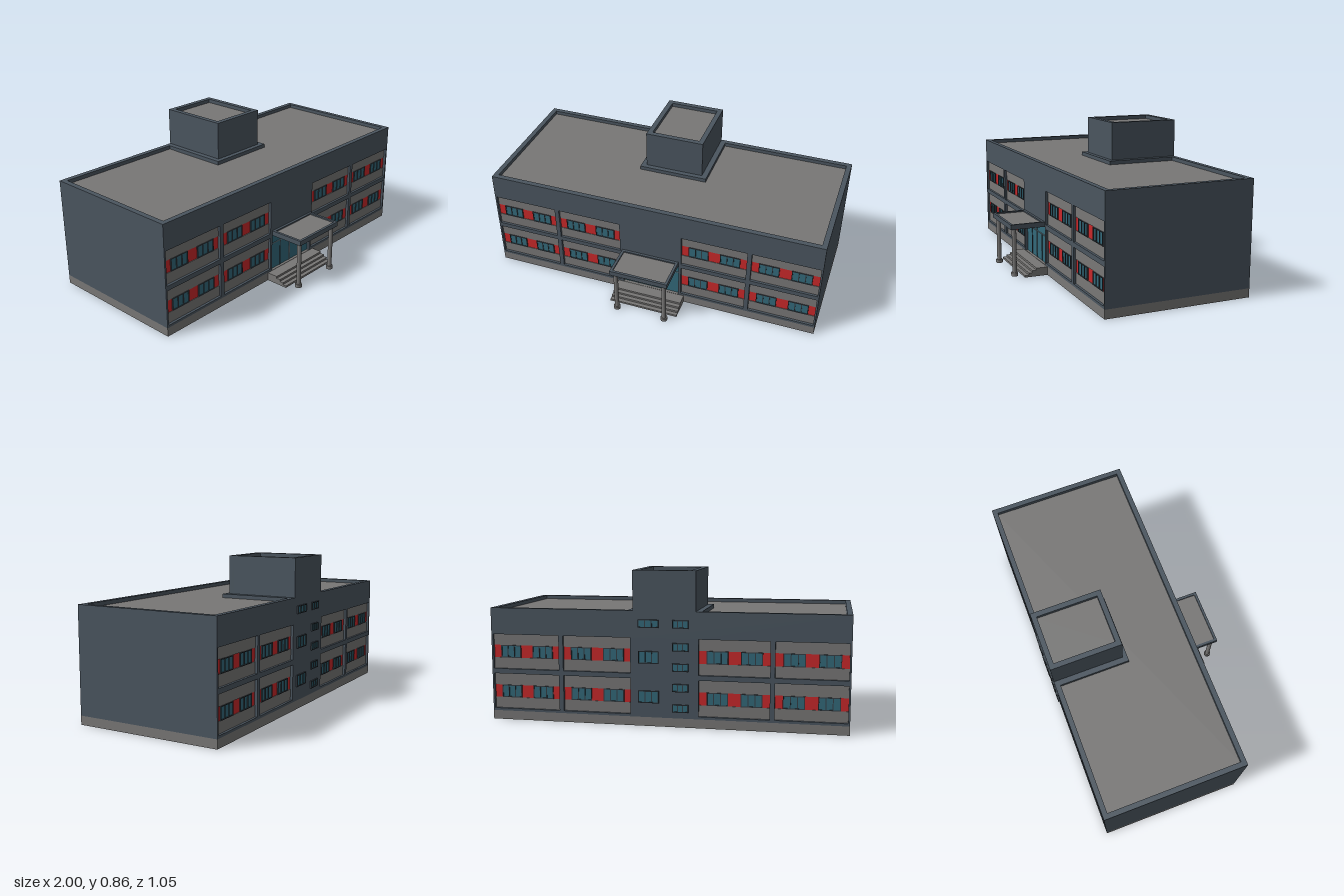
import * as THREE from 'three';

const mat = (name, color) => {
  const m = new THREE.MeshStandardMaterial({ color });
  m.name = name;
  return m;
};

export function createModel() {
  const slate = mat('slate wall', 0x4a555f);
  const grey = mat('grey panel', 0x787776);
  const red = mat('red panel', 0xc8282a);
  const glass = mat('teal glass', 0x33697a);
  const frameMat = mat('dark frame', 0x343d44);
  const metal = mat('door metal', 0x70808a);

  const model = new THREE.Group();
  model.name = 'building';

  // Box given by its minimum and maximum corners
  const box = (parent, name, m, x0, x1, y0, y1, z0, z1) => {
    const mesh = new THREE.Mesh(new THREE.BoxGeometry(x1 - x0, y1 - y0, z1 - z0), m);
    mesh.position.set((x0 + x1) / 2, (y0 + y1) / 2, (z0 + z1) / 2);
    mesh.name = name;
    parent.add(mesh);
    return mesh;
  };

  // Four thin walls around a rectangle
  const ring = (name, m, x0, x1, y0, y1, z0, z1, t) => {
    const g = new THREE.Group();
    g.name = name;
    box(g, 'frontSide', m, x0, x1, y0, y1, z1 - t, z1);
    box(g, 'backSide', m, x0, x1, y0, y1, z0, z0 + t);
    box(g, 'rightSide', m, x0, x0 + t, y0, y1, z0 + t, z1 - t);
    box(g, 'leftSide', m, x1 - t, x1, y0, y1, z0 + t, z1 - t);
    model.add(g);
  };

  const T = 0.03, FRONT = 0.32, BACK = -0.52;
  const bayX = [[-0.99, -0.603], [-0.577, -0.19], [0.19, 0.577], [0.603, 0.99]];
  const bayY = [[0.064, 0.265], [0.293, 0.49]];

  // Window with a dark border and evenly spaced panes, facing +z
  const addWindow = (parent, x0, x1, y0, y1, z0, z1, panes) => {
    const g = new THREE.Group();
    g.name = 'window';
    const b = 0.005;
    box(g, 'glass', glass, x0 + b, x1 - b, y0 + b, y1 - b, z0 + 0.002, z1 - 0.004);
    box(g, 'topRail', frameMat, x0, x1, y1 - b, y1, z0, z1);
    box(g, 'bottomRail', frameMat, x0, x1, y0, y0 + b, z0, z1);
    for (let i = 0; i <= panes; i++) {
      const x = x0 + b / 2 + (x1 - x0 - b) * i / panes;
      box(g, 'mullion', frameMat, x - b / 2, x + b / 2, y0 + b, y1 - b, z0, z1);
    }
    parent.add(g);
  };

  // Recessed bay: grey panels above and below a band of red panels and windows
  const addBay = (parent, [x0, x1], [y0, y1]) => {
    const g = new THREE.Group();
    g.name = 'windowBay';
    const a = y0 + 0.062, b = y0 + 0.134, z0 = -T, z1 = -0.014;
    box(g, 'lowerPanel', grey, x0, x1, y0, a, z0, z1);
    box(g, 'upperPanel', grey, x0, x1, b, y1, z0, z1);
    const cuts = [0, 0.042, 0.16, 0.229, 0.347, x1 - x0].map(v => x0 + v);
    for (let i = 0; i < 5; i++) {
      if (i % 2) addWindow(g, cuts[i], cuts[i + 1], a, b, z0, z1 + 0.004, 3);
      else box(g, 'redPanel', red, cuts[i], cuts[i + 1], a, b, z0, z1 - 0.003);
    }
    parent.add(g);
  };

  // Long facade with its outer face at local z = 0
  const addFacade = (name, hasDoor) => {
    const g = new THREE.Group();
    g.name = name;
    const pts = [[-1, 0.05]];
    if (hasDoor) pts.push([-0.175, 0.05], [-0.175, 0.28], [0.175, 0.28], [0.175, 0.05]);
    pts.push([1, 0.05], [1, 0.64], [-1, 0.64]);
    const shape = new THREE.Shape(pts.map(p => new THREE.Vector2(...p)));
    for (const [x0, x1] of bayX) for (const [y0, y1] of bayY) {
      shape.holes.push(new THREE.Path([[x0, y0], [x0, y1], [x1, y1], [x1, y0]]
        .map(p => new THREE.Vector2(...p))));
      addBay(g, [x0, x1], [y0, y1]);
    }
    const wall = new THREE.Mesh(
      new THREE.ExtrudeGeometry(shape, { depth: T, bevelEnabled: false }), slate);
    wall.position.z = -T;
    wall.name = 'facadeWall';
    g.add(wall);
    model.add(g);
    return g;
  };

  const front = addFacade('frontFacade', true);
  front.position.z = FRONT;
  const back = addFacade('backFacade', false);
  back.position.z = BACK;
  back.rotation.y = Math.PI;

  // Side walls, plinth and roof, with the underside left open
  for (const s of [-1, 1]) {
    const x = s * (1 - T / 2);
    box(model, 'sideWall', slate, x - T / 2, x + T / 2, 0.05, 0.64, BACK + T, FRONT - T);
  }
  ring('plinth', grey, -1, 1, 0, 0.05, BACK, FRONT, T);
  box(model, 'roof', grey, -1 + T, 1 - T, 0.6, 0.618, BACK + T, FRONT - T);

  // Roof tower with its kerb
  box(model, 'towerKerb', slate, -0.207, 0.207, 0.61, 0.64, BACK + T, -0.075);
  ring('towerWalls', slate, -0.175, 0.175, 0.64, 0.86, BACK, -0.103, T);
  box(model, 'towerRoof', grey, -0.145, 0.145, 0.82, 0.838, BACK + T, -0.133);

  // Stair windows on the back, seen in facade-local x (mirrored)
  for (const y of [0.106, 0.22, 0.333, 0.445, 0.57])
    addWindow(back, 0.045, 0.135, y - 0.022, y + 0.022, 0, 0.008, 3);
  for (const [y, h] of [[0.165, 0.068], [0.385, 0.068], [0.57, 0.045]])
    addWindow(back, -0.145, -0.03, y - h / 2, y + h / 2, 0, 0.008, 3);

  // Glazed entrance
  const entrance = new THREE.Group();
  entrance.name = 'entrance';
  box(entrance, 'entranceGlass', glass, -0.175, 0.175, 0.05, 0.28, 0.296, 0.304);
  box(entrance, 'transom', metal, -0.175, 0.175, 0.211, 0.216, 0.294, 0.307);
  box(entrance, 'centrePost', metal, -0.003, 0.003, 0.05, 0.28, 0.294, 0.308);
  for (const x of [-0.085, 0.085])
    box(entrance, 'doorPost', frameMat, x - 0.0025, x + 0.0025, 0.05, 0.211, 0.294, 0.307);
  model.add(entrance);

  // Entrance steps, each reaching back to the wall
  [0.456, 0.433, 0.41, 0.386].forEach((z, i) =>
    box(model, 'step', grey, -0.21, 0.21, i * 0.012, (i + 1) * 0.012, FRONT, z));

  // Canopy with a raised rim
  ring('canopyRim', slate, -0.175, 0.175, 0.278, 0.307, FRONT, 0.525, 0.015);
  box(model, 'canopyRoof', grey, -0.16, 0.16, 0.28, 0.299, FRONT + 0.015, 0.51);

  // Canopy columns
  for (const x of [-0.148, 0.148]) {
    const column = new THREE.Group();
    column.name = 'column';
    const shaft = new THREE.Mesh(new THREE.CylinderGeometry(0.013, 0.013, 0.262, 24), grey);
    shaft.position.y = 0.149;
    shaft.name = 'columnShaft';
    const foot = new THREE.Mesh(new THREE.CylinderGeometry(0.02, 0.02, 0.02, 24), grey);
    foot.position.y = 0.01;
    foot.name = 'columnFoot';
    column.add(shaft, foot);
    column.position.set(x, 0, 0.498);
    model.add(column);
  }

  return model;
}
